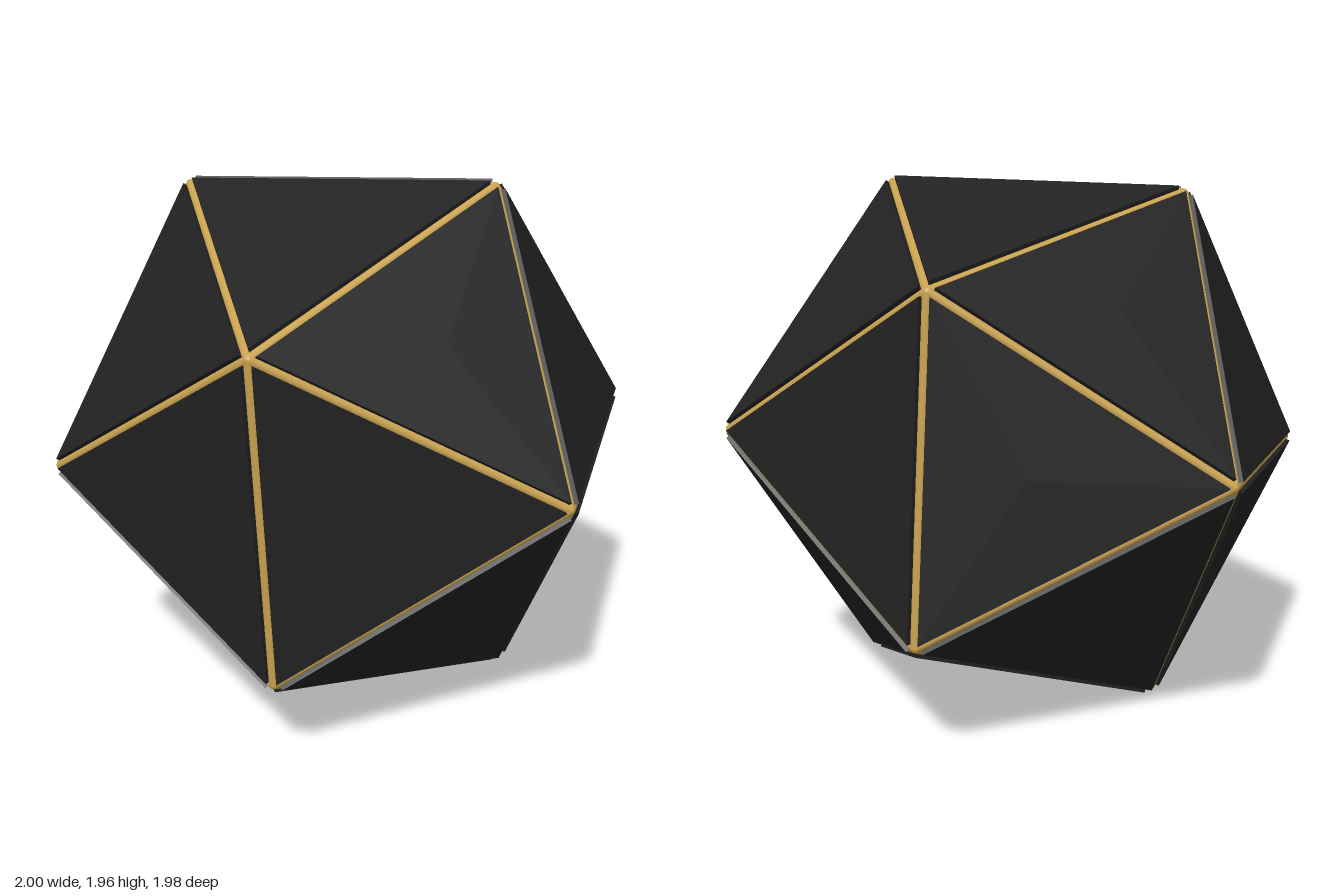
import * as THREE from 'three';

const PANEL_R = 1.14;   // circumradius of the panels' outer planes
const FRAME_R = 1.098;  // circumradius of the rod frame
const CORE_R = 1.09;
const ROD = 0.02;
const GAP = 0.02;       // inset of each panel from the edge

export function createModel() {
  const black = new THREE.MeshStandardMaterial({ color: 0x222222 });
  black.name = 'black';
  const gold = new THREE.MeshStandardMaterial({ color: 0xc9a24f });
  gold.name = 'gold';

  const model = new THREE.Group();
  model.name = 'icosahedron';
  const solid = new THREE.Group();
  solid.name = 'tiltedSolid';
  model.add(solid);

  const add = (name, geometry, material) => {
    const mesh = new THREE.Mesh(geometry, material);
    mesh.name = name;
    solid.add(mesh);
    return mesh;
  };

  // Inner body behind the panels
  const ico = new THREE.IcosahedronGeometry(1, 0);
  add('core', new THREE.IcosahedronGeometry(CORE_R, 0), black);

  // Corners, edges and faces of a unit icosahedron
  const pos = ico.attributes.position;
  const corners = new Map(), edges = new Map(), faces = [];
  const key = v => v.toArray().map(n => Math.round(n * 100)).join();
  for (let i = 0; i < pos.count; i += 3) {
    const f = [0, 1, 2].map(k => new THREE.Vector3().fromBufferAttribute(pos, i + k));
    faces.push(f);
    f.forEach((a, k) => {
      const b = f[(k + 1) % 3];
      corners.set(key(a), a);
      edges.set([key(a), key(b)].sort().join('|'), [a, b]);
    });
  }

  // Raised triangular panels: three-sided prisms standing on the core faces
  const inradius = 0.7947, faceRadius = 0.6071;
  const depth = (PANEL_R - CORE_R) * inradius + 0.01;
  const r = faceRadius * PANEL_R - 2 * GAP;
  const prism = new THREE.CylinderGeometry(r, r, depth, 3).toNonIndexed();
  prism.computeVertexNormals();
  for (const [a, b, c] of faces) {
    const centre = a.clone().add(b).add(c).divideScalar(3);
    const n = centre.clone().normalize();
    const z = a.clone().sub(centre).normalize();
    const x = n.clone().cross(z);
    const panel = add('panel', prism, black);
    panel.quaternion.setFromRotationMatrix(new THREE.Matrix4().makeBasis(x, n, z));
    panel.position.copy(n).multiplyScalar(PANEL_R * inradius - depth / 2);
  }

  // Gold rods along the edges, with round joints at the corners
  const up = new THREE.Vector3(0, 1, 0);
  const rodGeometry = new THREE.CylinderGeometry(ROD, ROD, 1.0515 * FRAME_R, 16, 1, true);
  for (const [a, b] of edges.values()) {
    const rod = add('edgeRod', rodGeometry, gold);
    rod.position.copy(a).add(b).multiplyScalar(FRAME_R / 2);
    rod.quaternion.setFromUnitVectors(up, b.clone().sub(a).normalize());
  }
  const jointGeometry = new THREE.SphereGeometry(ROD, 16, 12);
  for (const v of corners.values()) {
    add('cornerJoint', jointGeometry, gold).position.copy(v).multiplyScalar(FRAME_R);
  }

  // Slight tilt of the whole solid
  const X = new THREE.Vector3(0.998, 0.03, -0.065).normalize();
  const Y = new THREE.Vector3(0.063, -0.055, 0.996).cross(X).normalize();
  const Z = X.clone().cross(Y);
  solid.quaternion.setFromRotationMatrix(new THREE.Matrix4().makeBasis(X, Y, Z));
  solid.position.y = 0.98;
  return model;
}
